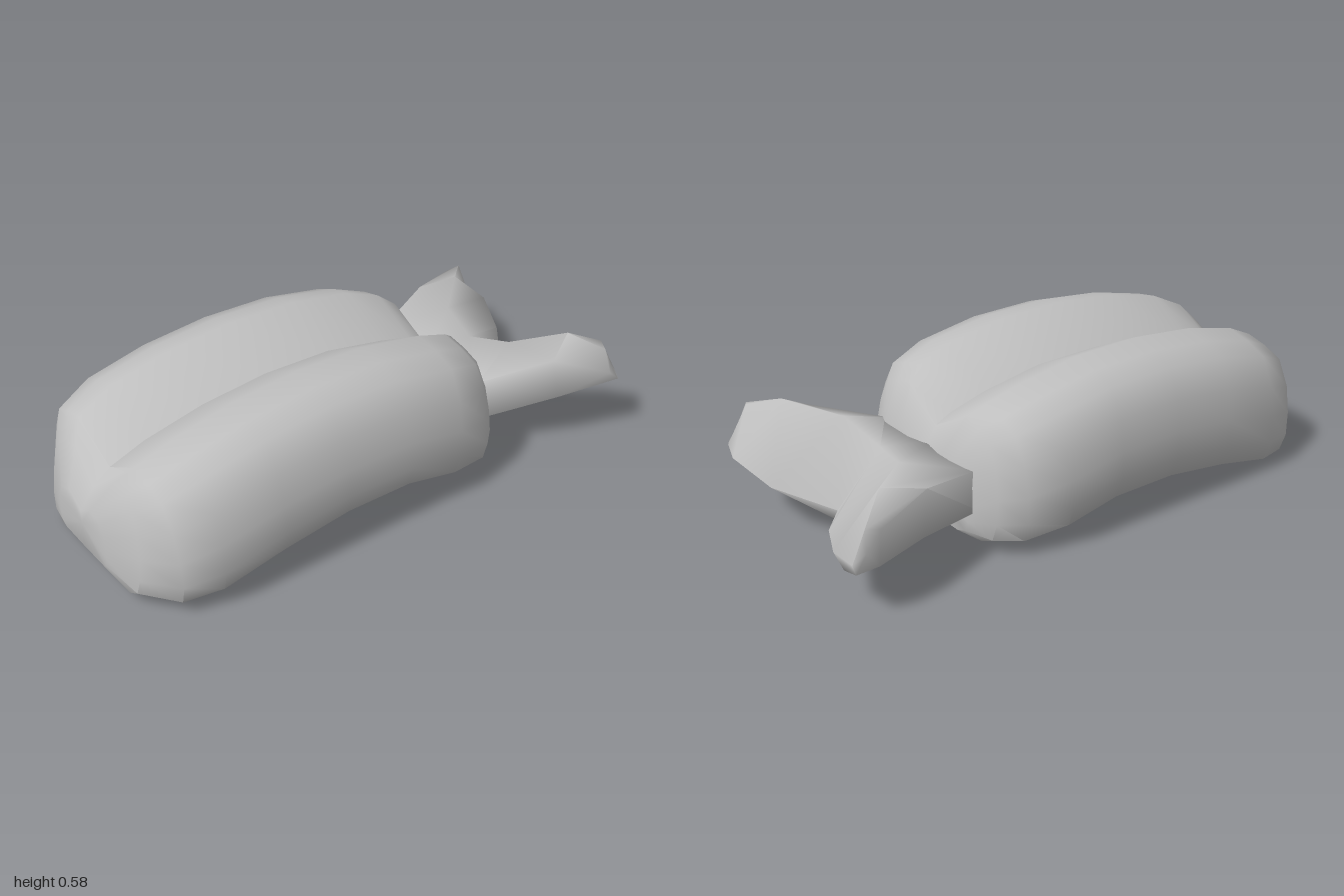
import * as THREE from 'three';
import { toCreasedNormals } from 'three/addons/utils/BufferGeometryUtils.js';

// Skin a list of rings (arrays of [x, y, z]) and close both ends with fans.
function loft(rings, crease) {
  const n = rings[0].length;
  const points = rings.flat();
  const index = [];
  for (let i = 0; i < rings.length - 1; i++) {
    for (let j = 0; j < n; j++) {
      const a = i * n + j, b = i * n + (j + 1) % n;
      index.push(a, b, b + n, a, b + n, a + n);
    }
  }
  for (const [ring, start, flip] of [[rings[0], 0, true], [rings.at(-1), (rings.length - 1) * n, false]]) {
    const c = points.length;
    points.push([0, 1, 2].map(k => ring.reduce((s, p) => s + p[k], 0) / n));
    for (let j = 0; j < n; j++) {
      const a = start + j, b = start + (j + 1) % n;
      if (flip) index.push(c, b, a); else index.push(c, a, b);
    }
  }
  // Turn every face outward
  const v = points.map(p => new THREE.Vector3(...p));
  let volume = 0;
  for (let i = 0; i < index.length; i += 3) {
    volume += v[index[i]].dot(v[index[i + 1]].clone().cross(v[index[i + 2]]));
  }
  if (volume < 0) index.reverse();
  const geometry = new THREE.BufferGeometry();
  geometry.setAttribute('position', new THREE.Float32BufferAttribute(points.flat(), 3));
  geometry.setIndex(index);
  return toCreasedNormals(geometry, crease);
}

export function createModel() {
  const model = new THREE.Group();
  const grey = new THREE.MeshStandardMaterial({ color: 0xbfbfbf });
  grey.name = 'plain grey';

  // Half section of the body: groove, ridge, shoulder, side, flat underside
  const half = [[0.44, 1], [0.64, 0.96], [0.82, 0.89], [0.94, 0.68], [0.99, 0.45],
    [1, 0.24], [0.95, 0.08], [0.8, 0.01]];
  const section = [[0, 0.77], ...half, [0, 0], ...half.map(([u, v]) => [-u, v]).reverse()];

  // Stations along the arched body: bottom x, bottom y, top x, top y, half width
  const stations = [
    [-0.74, 0.07, -0.735, 0.25, 0.16],
    [-0.71, 0.015, -0.67, 0.36, 0.30],
    [-0.61, 0.0, -0.62, 0.425, 0.42],
    [-0.48, 0.01, -0.49, 0.485, 0.46],
    [-0.25, 0.06, -0.27, 0.535, 0.465],
    [0, 0.095, -0.02, 0.56, 0.465],
    [0.25, 0.095, 0.24, 0.555, 0.465],
    [0.45, 0.055, 0.48, 0.515, 0.465],
    [0.61, 0.035, 0.61, 0.47, 0.43],
    [0.69, 0.035, 0.665, 0.43, 0.36],
    [0.735, 0.06, 0.73, 0.30, 0.27],
  ];
  const bodyRings = stations.map(([xb, yb, xt, yt, w]) =>
    section.map(([u, v]) => [xb + (xt - xb) * v, yb + (yt - yb) * v, u * w]));
  const body = new THREE.Mesh(loft(bodyRings, 0.85), grey);
  body.name = 'body';
  body.position.set(-0.25, 0.008, 0.012);
  body.rotation.set(-0.045, 0.077, 0);
  model.add(body);

  // Forked tail, skinned from one tip across the root to the other tip.
  // Each ring: upper root edge, crest, notch edge, underside, lower root edge
  const tailRings = [
    [[0.90, 0.385, 0.385], [0.915, 0.395, 0.345], [0.985, 0.26, 0.36], [0.965, 0.25, 0.405], [0.93, 0.28, 0.395]],
    [[0.72, 0.36, 0.32], [0.82, 0.42, 0.27], [0.995, 0.235, 0.30], [0.89, 0.19, 0.31], [0.74, 0.21, 0.34]],
    [[0.47, 0.29, 0.21], [0.66, 0.365, 0.14], [0.93, 0.17, 0.15], [0.78, 0.115, 0.15], [0.47, 0.14, 0.22]],
    [[0.42, 0.28, -0.04], [0.62, 0.31, -0.04], [0.78, 0.12, -0.03], [0.76, 0.066, -0.025], [0.42, 0.13, -0.04]],
    [[0.42, 0.28, -0.31], [0.65, 0.335, -0.22], [0.90, 0.17, -0.22], [0.78, 0.10, -0.20], [0.42, 0.14, -0.32]],
    [[0.66, 0.33, -0.42], [0.80, 0.355, -0.38], [0.97, 0.20, -0.40], [0.93, 0.115, -0.38], [0.68, 0.17, -0.425]],
    [[0.87, 0.30, -0.52], [0.92, 0.31, -0.515], [0.96, 0.20, -0.505], [0.95, 0.165, -0.505], [0.88, 0.18, -0.52]],
  ];
  const tail = new THREE.Mesh(loft(tailRings, 1.5), grey);
  tail.name = 'tailFin';
  model.add(tail);

  return model;
}
